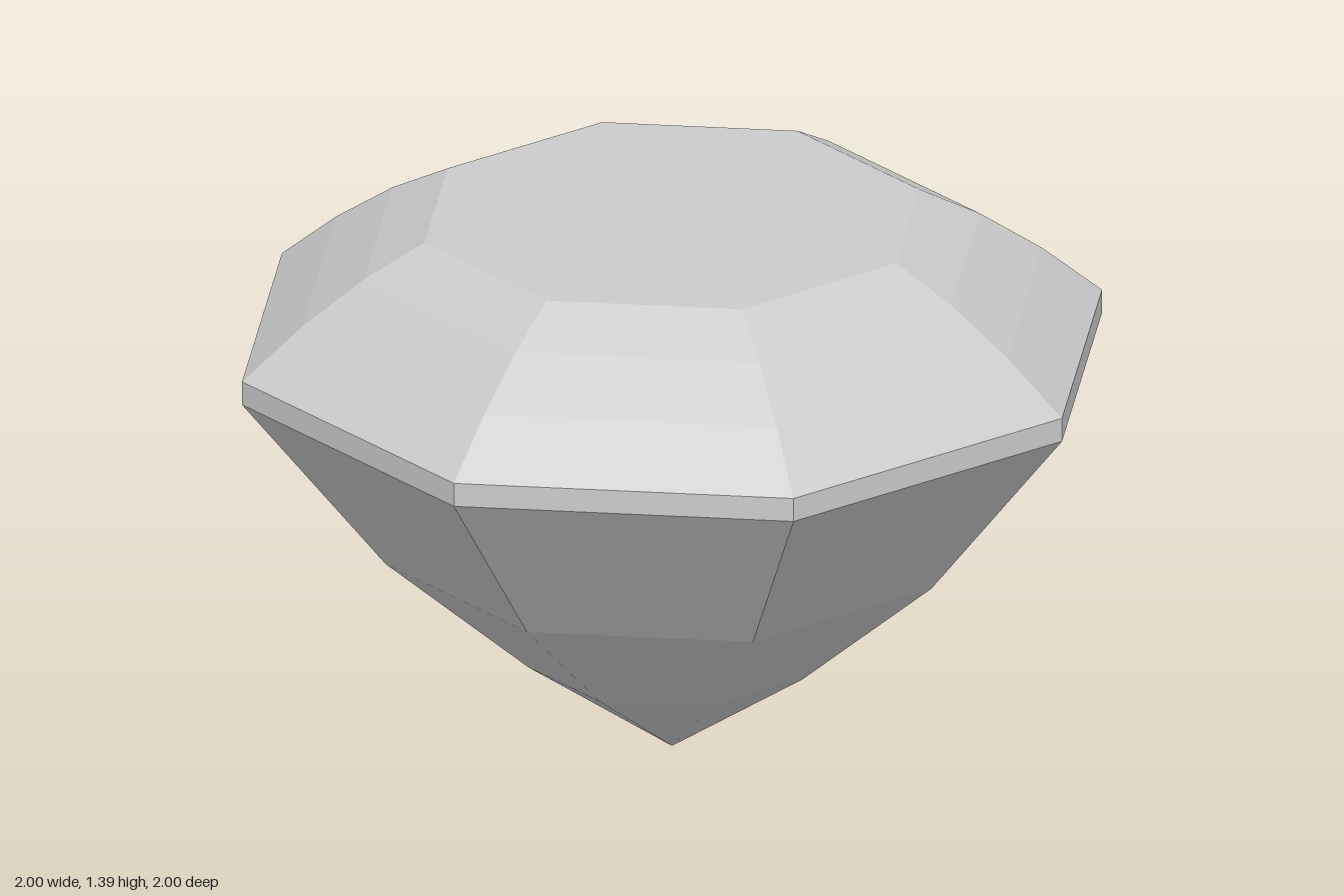
import * as THREE from 'three';

const SIDES = 8;
const material = new THREE.MeshStandardMaterial({ color: 0xcccccc, flatShading: true });

// Eight-sided ring of facets; profile lists [distance to flat side, height], bottom to top
function facets(name, profile) {
  const toCorner = 1 / Math.cos(Math.PI / SIDES);
  const points = profile.map(([r, y]) => new THREE.Vector2(r * toCorner, y));
  const geometry = new THREE.LatheGeometry(points, SIDES, Math.PI / SIDES);
  const mesh = new THREE.Mesh(geometry, material);
  mesh.name = name;
  return mesh;
}

export function createModel() {
  const gem = new THREE.Group();
  gem.name = 'cutGem';
  gem.add(
    // Lower cone, steepening towards the rim
    facets('pavilion', [[0, 0], [0.333, 0.245], [0.665, 0.555], [1, 1.013]]),
    // Thin upright band at the widest point
    facets('girdle', [[1, 1.013], [1, 1.073]]),
    // Sloping upper facets
    facets('crown', [[1, 1.073], [0.86, 1.2], [0.716, 1.307], [0.575, 1.387]]),
    // Flat top
    facets('table', [[0.575, 1.387], [0, 1.387]]),
  );
  return gem;
}
